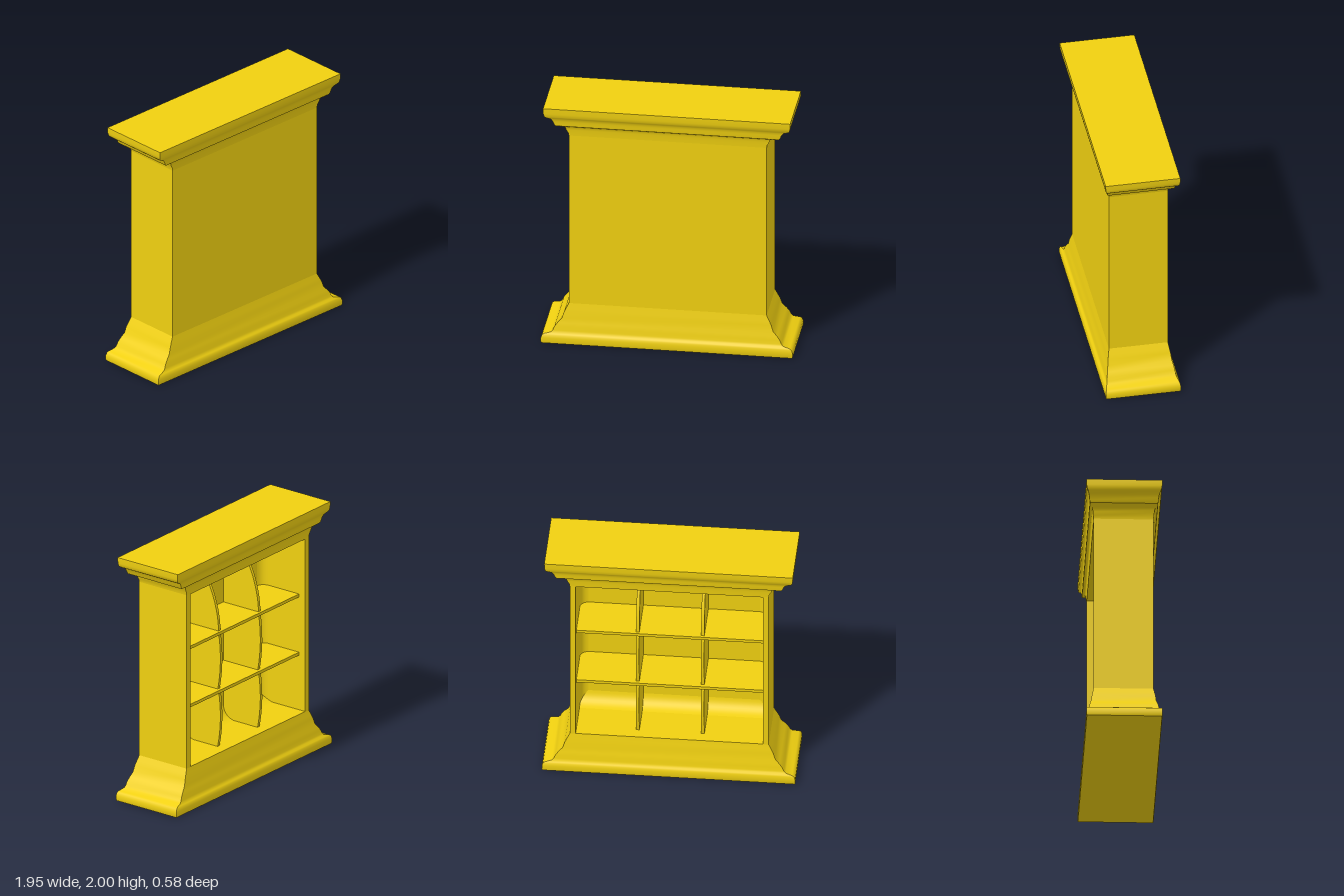
import * as THREE from 'three';
import { toCreasedNormals } from 'three/addons/utils/BufferGeometryUtils.js';

const material = new THREE.MeshStandardMaterial({ color: 0xf0d010 });

// Rectangular moulding: each row is [half width, half depth, height], bottom to top
function moulding(rows) {
  const pos = [], idx = [];
  for (const [hx, hz, y] of rows) pos.push(-hx, y, hz, hx, y, hz, hx, y, -hz, -hx, y, -hz);
  for (let r = 0; r < rows.length - 1; r++) {
    for (let i = 0; i < 4; i++) {
      const a = r * 4 + i, b = r * 4 + (i + 1) % 4;
      idx.push(a, b, b + 4, a, b + 4, a + 4);
    }
  }
  const t = (rows.length - 1) * 4;
  idx.push(0, 2, 1, 0, 3, 2, t, t + 1, t + 2, t, t + 2, t + 3);
  const g = new THREE.BufferGeometry();
  g.setAttribute('position', new THREE.Float32BufferAttribute(pos, 3));
  g.setIndex(idx);
  return toCreasedNormals(g, 0.75);
}

// Extrusion centred on its own depth
function slab(shape, depth) {
  const g = new THREE.ExtrudeGeometry(shape, { depth, bevelEnabled: false, curveSegments: 8 });
  g.translate(0, 0, -depth / 2);
  return toCreasedNormals(g, 0.6);
}

// Extrude a (z, y) outline along x
const alongX = (shape, width) => slab(shape, width).rotateY(-Math.PI / 2);

// Concave corner filler: corner at (u, v), legs a and b
function cove(u, v, a, b) {
  const s = new THREE.Shape();
  s.moveTo(u, v);
  s.lineTo(u + a, v);
  s.quadraticCurveTo(u + a * 0.15, v + b * 0.15, u, v + b);
  s.closePath();
  return s;
}

export function createModel() {
  const group = new THREE.Group();
  const add = (name, geometry, x = 0, y = 0, z = 0) => {
    const m = new THREE.Mesh(geometry, material);
    m.name = name;
    m.position.set(x, y, z);
    group.add(m);
    return m;
  };

  // Flared plinth
  add('base', moulding([
    [0.97, 0.288, 0], [0.975, 0.292, 0.012], [0.974, 0.292, 0.045], [0.966, 0.289, 0.068],
    [0.95, 0.283, 0.078], [0.9, 0.272, 0.09], [0.885, 0.268, 0.105], [0.872, 0.264, 0.135],
    [0.85, 0.258, 0.165], [0.818, 0.249, 0.2], [0.802, 0.244, 0.25], [0.785, 0.237, 0.285],
    [0.765, 0.23, 0.325],
  ]));

  // Stepped cornice
  add('cornice', moulding([
    [0.765, 0.23, 1.755], [0.77, 0.232, 1.78], [0.785, 0.235, 1.805], [0.79, 0.238, 1.825],
    [0.805, 0.243, 1.835], [0.865, 0.26, 1.845], [0.875, 0.263, 1.86], [0.885, 0.265, 1.885],
    [0.9, 0.27, 1.905], [0.935, 0.277, 1.917], [0.948, 0.285, 1.928], [0.955, 0.29, 1.955],
    [0.956, 0.291, 2],
  ]));

  // Case walls, open at the back
  const wall = new THREE.Shape();
  wall.moveTo(-0.765, 0.3).lineTo(0.765, 0.3).lineTo(0.765, 1.775).lineTo(-0.765, 1.775).closePath();
  const opening = new THREE.Path();
  opening.moveTo(-0.72, 0.328).lineTo(-0.72, 1.75).lineTo(0.72, 1.75).lineTo(0.72, 0.328).closePath();
  wall.holes.push(opening);
  add('caseWalls', slab(wall, 0.42), 0, 0, -0.02);
  add('frontPanel', new THREE.BoxGeometry(1.53, 1.475, 0.04), 0, 1.0375, 0.21);

  // Rounded inner corners against the front panel
  add('floorCove', alongX(cove(0.19, 0.328, -0.1, 0.1), 1.44));
  add('ceilingCove', alongX(cove(0.19, 1.75, -0.17, -0.2), 1.44));
  for (const s of [-1, 1]) {
    add('sideCove', slab(cove(s * 0.72, 0.19, -s * 0.06, -0.06), 1.42).rotateX(Math.PI / 2), 0, 1.04, 0);
  }

  // Two shelves
  for (const y of [0.79, 1.27]) {
    add('shelf', new THREE.BoxGeometry(1.44, 0.025, 0.37), 0, y, 0.015);
  }

  // Dividers: gently bowed below, arched in the top row
  const divider = (y0, y1) => {
    const s = new THREE.Shape();
    s.moveTo(0.19, y0).lineTo(-0.14, y0);
    s.quadraticCurveTo(-0.19, (y0 + y1) / 2, -0.15, y1);
    s.lineTo(0.19, y1).closePath();
    return s;
  };
  const topDivider = new THREE.Shape();
  topDivider.moveTo(0.19, 1.27).lineTo(-0.15, 1.27);
  topDivider.quadraticCurveTo(-0.15, 1.5, -0.01, 1.74);
  topDivider.lineTo(0.03, 1.74);
  topDivider.quadraticCurveTo(0.12, 1.68, 0.19, 1.53);
  topDivider.closePath();
  for (const x of [-0.25, 0.25]) {
    add('lowerDivider', alongX(divider(0.325, 0.79), 0.025), x);
    add('middleDivider', alongX(divider(0.79, 1.27), 0.025), x);
    add('upperDivider', alongX(topDivider, 0.025), x);
  }
  return group;
}
